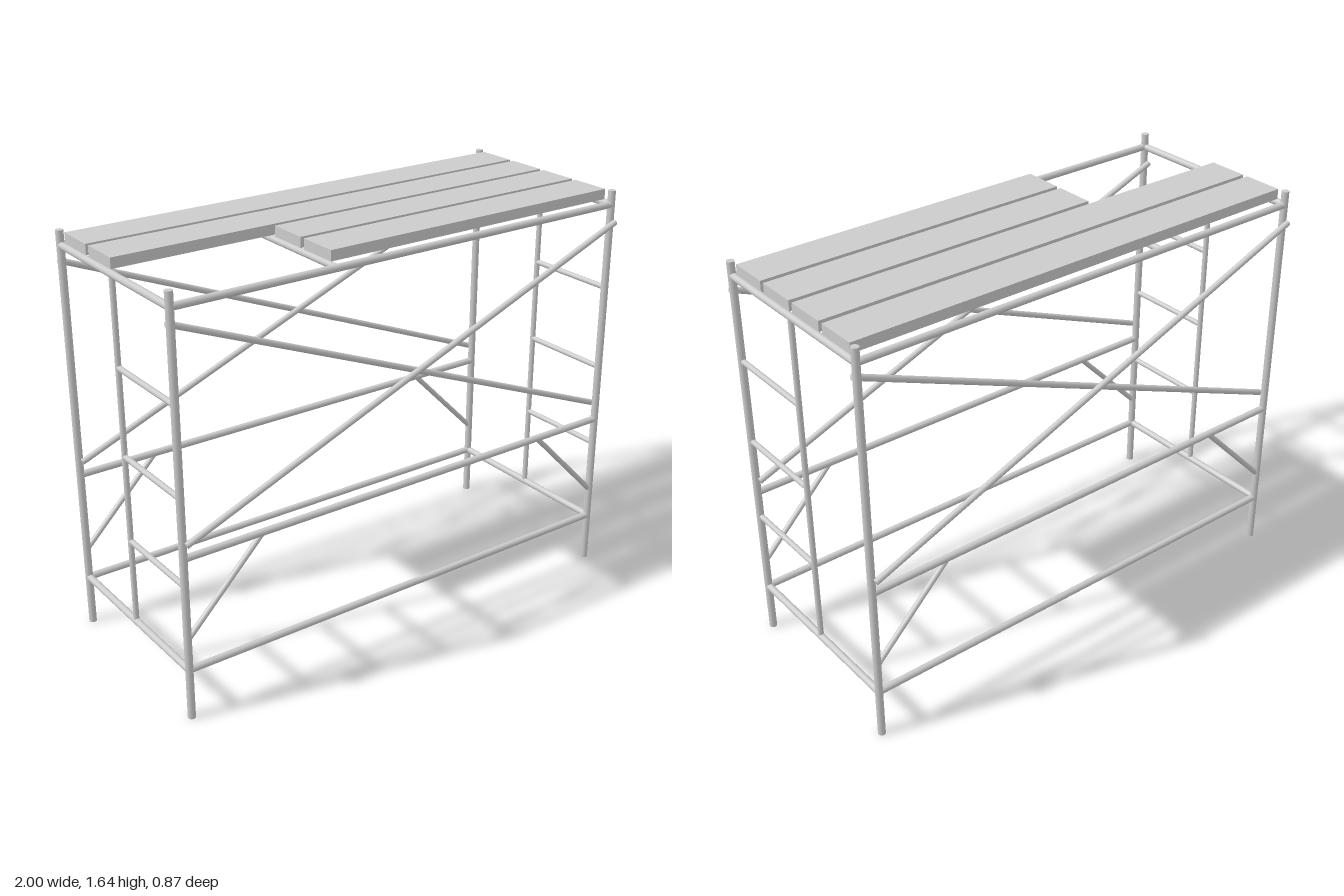
import * as THREE from 'three';

const X = 0.985, Z = 0.395;               // post positions
const TOP = 1.583, MID = 0.66, LOW = 0.205; // rail heights

export function createModel() {
  const model = new THREE.Group();
  model.name = 'scaffold';
  const material = new THREE.MeshStandardMaterial({ color: 0xcccccc });

  // Round tube between two points
  function tube(name, a, b, radius) {
    const start = new THREE.Vector3(...a), end = new THREE.Vector3(...b);
    const dir = end.clone().sub(start);
    const mesh = new THREE.Mesh(new THREE.CylinderGeometry(radius, radius, dir.length(), 16), material);
    mesh.position.copy(start).add(end).multiplyScalar(0.5);
    mesh.quaternion.setFromUnitVectors(new THREE.Vector3(0, 1, 0), dir.normalize());
    mesh.name = name;
    model.add(mesh);
  }

  // End frames: posts, crossbars and a half-width ladder
  for (const x of [-X, X]) {
    for (const z of [-Z, Z]) tube('post', [x, 0, z], [x, 1.64, z], 0.015);
    for (const y of [LOW, TOP]) tube('endBar', [x, y, -Z], [x, y, Z], 0.014);
    tube('ladderUpright', [x, LOW, 0], [x, TOP, 0], 0.011);
    for (const y of [0.55, 0.895, 1.24]) tube('ladderRung', [x, y, 0], [x, y, Z], 0.011);
  }

  // Long sides: rails and corner struts
  for (const z of [-Z, Z]) {
    for (const y of [LOW, MID, TOP]) tube('sideRail', [-X, y, z], [X, y, z], 0.014);
    for (const s of [-1, 1]) tube('cornerStrut', [s * X, 0.33, z], [s * 0.66, MID, z], 0.011);

    // Crossed braces passing either side of the posts
    tube('risingBrace', [-X, 0.725, z + 0.028], [X, 1.517, z + 0.028], 0.012);
    tube('fallingBrace', [-X, 1.517, z - 0.028], [X, 0.725, z - 0.028], 0.012);
  }

  // Bearer under the short planks
  tube('deckBearer', [-0.33, TOP, -Z], [-0.33, TOP, Z], 0.013);

  // Deck planks: two full length, two short beside the hatch
  for (const [z, left] of [[-0.278, -0.982], [-0.0925, -0.982], [0.0925, -0.332], [0.278, -0.332]]) {
    const plank = new THREE.Mesh(new THREE.BoxGeometry(0.982 - left, 0.041, 0.165), material);
    plank.position.set((0.982 + left) / 2, 1.617, z);
    plank.name = 'deckPlank';
    model.add(plank);
  }
  return model;
}
